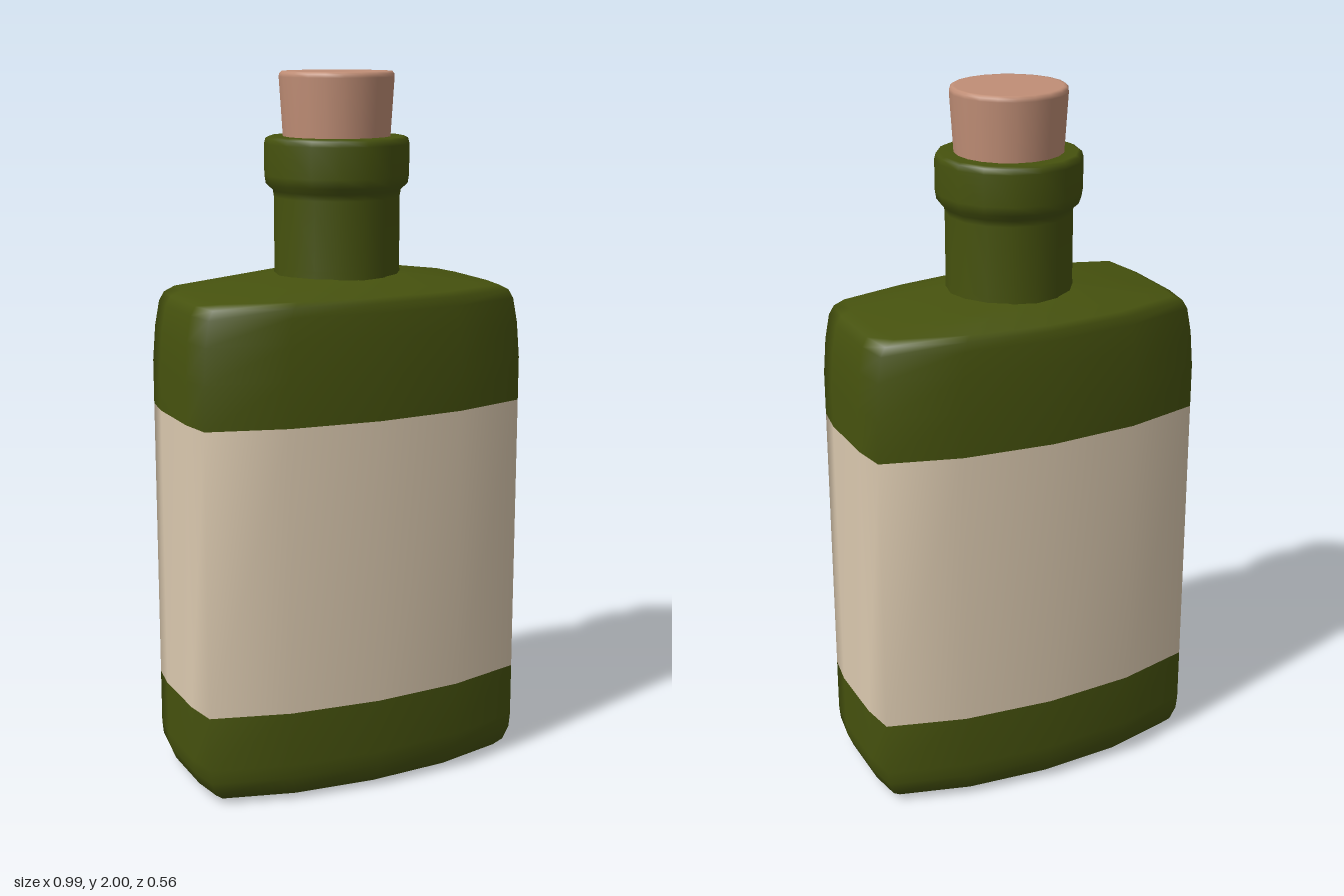
import * as THREE from 'three';

const mat = (name, color) => {
  const m = new THREE.MeshStandardMaterial({ color });
  m.name = name;
  return m;
};

// Bottle cross-section: one quarter, mirrored to a full loop running from +x to +z
const quarter = [[0.495, 0.1], [0.48, 0.2], [0.26, 0.26]];
const reversed = [...quarter].reverse();
const outline = [
  ...quarter, [0, 0.28],
  ...reversed.map(([x, z]) => [-x, z]),
  ...quarter.map(([x, z]) => [-x, -z]), [0, -0.28],
  ...reversed.map(([x, z]) => [x, -z]),
];

// Loft the outline through rings of [height, x scale, z scale]
function loft(rings, capBottom, capTop) {
  const n = outline.length, pos = [], idx = [];
  for (const [y, sx, sz] of rings) {
    for (const [x, z] of outline) pos.push(x * sx, y, z * sz);
  }
  for (let r = 0; r < rings.length - 1; r++) {
    for (let i = 0; i < n; i++) {
      const a = r * n + i, b = r * n + (i + 1) % n;
      idx.push(a, a + n, b, b, a + n, b + n);
    }
  }
  const cap = (r, flip) => {
    const c = pos.length / 3;
    pos.push(0, rings[r][0], 0);
    for (let i = 0; i < n; i++) {
      const a = r * n + i, b = r * n + (i + 1) % n;
      if (flip) idx.push(c, b, a);
      else idx.push(c, a, b);
    }
  };
  if (capBottom) cap(0, false);
  if (capTop) cap(rings.length - 1, true);
  const g = new THREE.BufferGeometry();
  g.setAttribute('position', new THREE.Float32BufferAttribute(pos, 3));
  g.setIndex(idx);
  g.computeVertexNormals();
  return g;
}

const lathe = (points, segments) =>
  new THREE.LatheGeometry(points.map(([r, y]) => new THREE.Vector2(r, y)), segments);

export function createModel() {
  const group = new THREE.Group();
  group.name = 'bottle';
  const glass = mat('green glass', 0x46520e);
  const paper = mat('cream paper', 0xdccab0);
  const corkMat = mat('cork', 0xc08e76);

  const add = (name, geometry, material) => {
    const mesh = new THREE.Mesh(geometry, material);
    mesh.name = name;
    group.add(mesh);
  };

  // Rounded base
  add('base', loft([
    [0, 0.72, 0.68], [0, 0.83, 0.79], [0.01, 0.91, 0.88], [0.03, 0.96, 0.95],
    [0.07, 0.993, 0.99], [0.11, 1, 1], [0.265, 1, 1],
  ], true, false), glass);

  // Label wrapped all the way round
  add('label', loft([[0.265, 1, 1], [1.075, 1, 1]], false, false), paper);

  // Upper body with sloping shoulders
  add('shoulders', loft([
    [1.075, 1, 1], [1.2, 1, 1], [1.3, 0.985, 0.985], [1.37, 0.96, 0.965],
    [1.395, 0.93, 0.95], [1.41, 0.87, 0.92], [1.45, 0.32, 0.6],
  ], false, true), glass);

  // Neck and thick lip
  add('neck', lathe([
    [0.178, 1.41], [0.175, 1.47], [0.175, 1.66], [0.178, 1.678], [0.197, 1.695],
    [0.201, 1.72], [0.201, 1.805], [0.197, 1.82], [0.187, 1.825], [0.001, 1.825],
  ], 16), glass);

  // Tapered cork stopper
  add('cork', lathe([
    [0.149, 1.815], [0.15, 1.83], [0.16, 1.985], [0.159, 1.994], [0.153, 2],
    [0.145, 2], [0, 2],
  ], 20), corkMat);

  return group;
}
